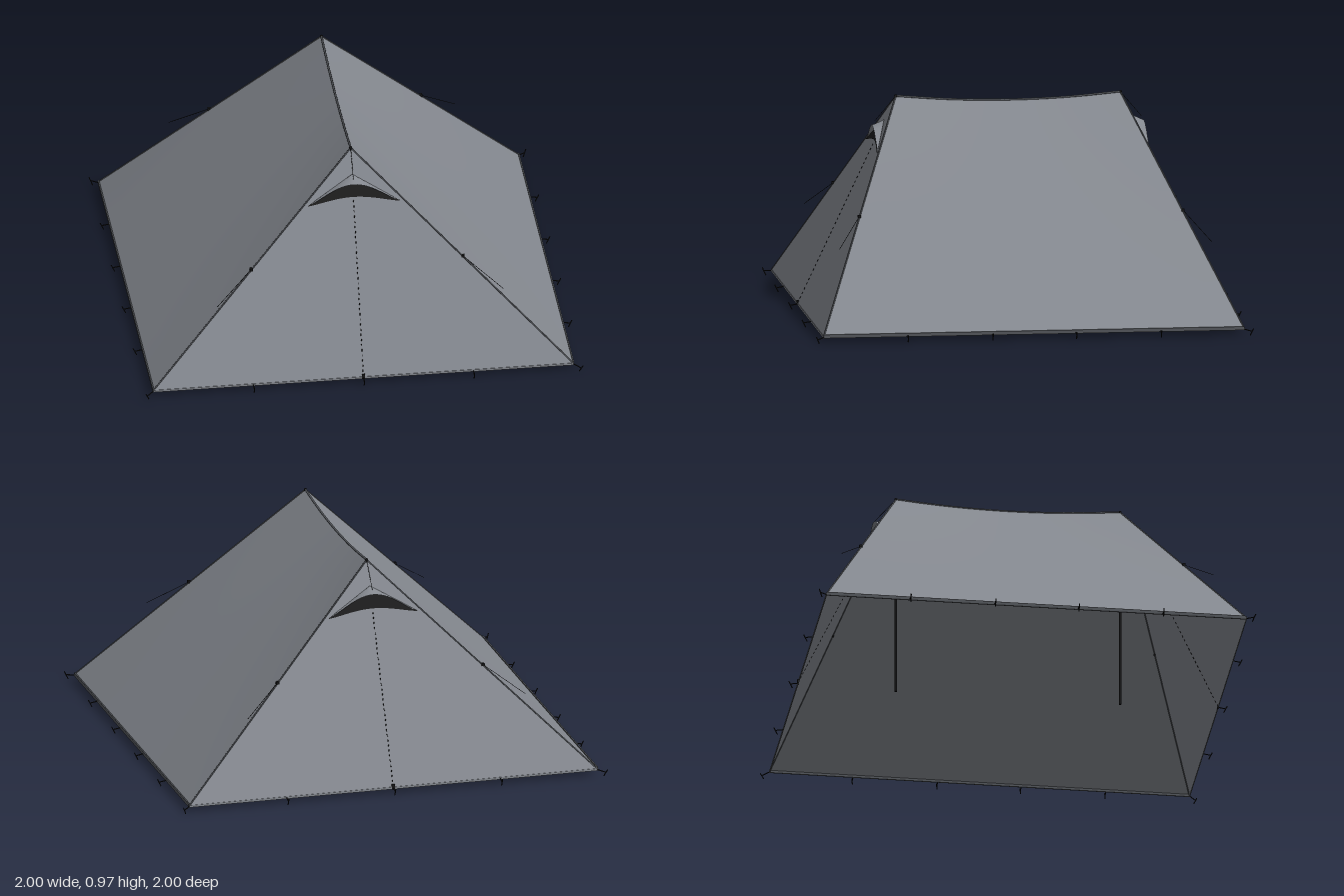
import * as THREE from 'three';

const V = (x, y, z) => new THREE.Vector3(x, y, z);
const mat = (name, color, side = THREE.FrontSide) => {
  const m = new THREE.MeshStandardMaterial({ color, side });
  m.name = name;
  return m;
};

const BASE = 0.955, HEM = 0.03, RIDGE = 0.967, RIDGE_Z = 0.51;
// z of the sloping end panel at height y
const endZ = (y) => BASE - (y - HEM) * (BASE - RIDGE_Z) / (RIDGE - HEM);
// sagging ridge, t from -1 to 1
const ridgeAt = (t) => V(0, 0.94 + (RIDGE - 0.94) * t * t, RIDGE_Z * t);

// Smooth sheet stretched between two curves, each a function of t in 0..1
function sheet(from, to, nu, nv, bulge = 0) {
  const pos = [], idx = [];
  for (let j = 0; j <= nv; j++) for (let i = 0; i <= nu; i++) {
    const p = from(i / nu).lerp(to(i / nu), j / nv);
    p.y += bulge * Math.sin(Math.PI * j / nv) * Math.sin(Math.PI * i / nu);
    pos.push(p.x, p.y, p.z);
  }
  for (let j = 0; j < nv; j++) for (let i = 0; i < nu; i++) {
    const a = j * (nu + 1) + i, b = a + nu + 1;
    idx.push(a, a + 1, b + 1, a, b + 1, b);
  }
  const g = new THREE.BufferGeometry();
  g.setAttribute('position', new THREE.Float32BufferAttribute(pos, 3));
  g.setIndex(idx);
  g.computeVertexNormals();
  return g;
}

export function createModel() {
  const root = new THREE.Group();
  root.name = 'tent';
  const fabric = mat('grey fabric', 0x858990, THREE.DoubleSide);
  const seam = mat('dark grey seam', 0x55585d);
  const black = mat('black hardware', 0x161617);
  const mesh = mat('black vent netting', 0x1c1c1d, THREE.DoubleSide);

  const add = (parent, name, geo, m) => {
    const o = new THREE.Mesh(geo, m);
    o.name = name;
    parent.add(o);
    return o;
  };
  // Straight round bar between two points
  const rod = (parent, name, a, b, r, m, sides = 6) => {
    const d = b.clone().sub(a);
    const o = add(parent, name, new THREE.CylinderGeometry(r, r, d.length(), sides), m);
    o.position.copy(a).add(b).multiplyScalar(0.5);
    o.quaternion.setFromUnitVectors(V(0, 1, 0), d.normalize());
    return o;
  };
  // Ground stake with a hooked head, pointing outward from the hem
  const stake = (parent, x, z, dx, dz) => {
    const g = new THREE.Group();
    g.name = 'stake';
    const tip = V(x + dx * 0.036, 0.02, z + dz * 0.036);
    rod(g, 'stakeLoop', V(x, 0.026, z), tip, 0.0025, black);
    rod(g, 'stakePin', V(tip.x - dx * 0.01, 0.001, tip.z - dz * 0.01),
      V(tip.x + dx * 0.006, 0.034, tip.z + dz * 0.006), 0.0025, black);
    parent.add(g);
  };

  for (const s of [1, -1]) {
    // Long roof panel
    const side = new THREE.Group();
    side.name = s > 0 ? 'leftSide' : 'rightSide';
    root.add(side);
    add(side, 'roofPanel', sheet((t) => V(s * BASE, HEM, s * BASE * (1 - 2 * t)),
      (t) => ridgeAt(s * (1 - 2 * t)), 24, 12), fabric);
    const hem = add(side, 'sideHem', new THREE.BoxGeometry(0.006, 0.016, BASE * 2), seam);
    hem.position.set(s * BASE, 0.03, 0);
    for (const z of [-0.575, -0.19, 0.19, 0.575]) stake(side, s * BASE, z, s, 0);

    // Triangular end with vent, door zip and pole; the back is turned half round
    const end = new THREE.Group();
    end.name = s > 0 ? 'frontEnd' : 'backEnd';
    end.rotation.y = s > 0 ? 0 : Math.PI;
    root.add(end);
    add(end, 'endPanel', sheet((t) => V(BASE * (2 * t - 1), HEM, BASE),
      () => V(0, RIDGE, RIDGE_Z), 12, 12), fabric);
    const endHem = add(end, 'endHem', new THREE.BoxGeometry(BASE * 2, 0.01, 0.004), fabric);
    endHem.position.set(0, 0.026, BASE);
    rod(end, 'pole', V(0, 0.012, RIDGE_Z), V(0, RIDGE - 0.004, RIDGE_Z), 0.006, black, 10);
    add(end, 'poleTip', new THREE.SphereGeometry(0.007, 10, 8), black)
      .position.set(0, RIDGE, RIDGE_Z);

    // Arched hood over the vent
    const W = 0.208;
    const arch = (t) => Math.pow(Math.cos(Math.PI * (t - 0.5)), 1.3);
    const xAt = (t) => W * (2 * t - 1);
    const lip = (t) => V(xAt(t), 0.742 + 0.093 * arch(t), 0.617);
    const root0 = (t) => {
      const y = 0.742 + 0.118 * (1 - Math.abs(2 * t - 1));
      return V(xAt(t), y, endZ(y) + 0.002);
    };
    add(end, 'ventHood', sheet(lip, root0, 24, 4), fabric);
    add(end, 'ventNetting', sheet((t) => {
      const y = 0.74 + 0.027 * arch(t);
      return V(xAt(t), y, endZ(y) + 0.003);
    }, (t) => {
      const p = root0(t);
      p.z += 0.001;
      return p;
    }, 24, 4), mesh);

    // Dashed zip down the middle of the end
    for (let i = 0; i < 34; i++) {
      const y = 0.05 + i * 0.021;
      rod(end, 'zipTooth', V(0, y, endZ(y)), V(0, y + 0.009, endZ(y + 0.009)), 0.002, black, 4);
    }
    const pull = add(end, 'zipBuckle', new THREE.BoxGeometry(0.014, 0.022, 0.008), black);
    pull.position.set(0, 0.032, BASE);

    for (const x of [-0.5, 0, 0.5]) stake(end, x, BASE, 0, 1);

    for (const m of [1, -1]) {
      // Corner seam, corner stake and guy line
      rod(end, 'cornerSeam', V(m * BASE, HEM, BASE), V(0, RIDGE, RIDGE_Z), 0.0035, seam);
      stake(end, m * BASE, BASE, m * 0.9, 0.9);
      const clip = V(m * 0.481, 0.498, 0.735);
      add(end, 'guyClip', new THREE.BoxGeometry(0.014, 0.012, 0.014), black).position.copy(clip);
      rod(end, 'guyLine', clip, V(m * 0.65, 0.378, 0.845), 0.0012, black, 4);
      // Short tie from the ridge tip to the hood
      if (m > 0) rod(end, 'hoodTie', V(0, RIDGE, RIDGE_Z), V(0, 0.855, 0.605), 0.001, black, 4);
    }
  }

  // Seam along the sagging ridge
  const pts = [-1, -0.5, 0, 0.5, 1].map(ridgeAt);
  add(root, 'ridgeSeam', new THREE.TubeGeometry(new THREE.CatmullRomCurve3(pts), 24, 0.005, 6), seam);
  return root;
}
